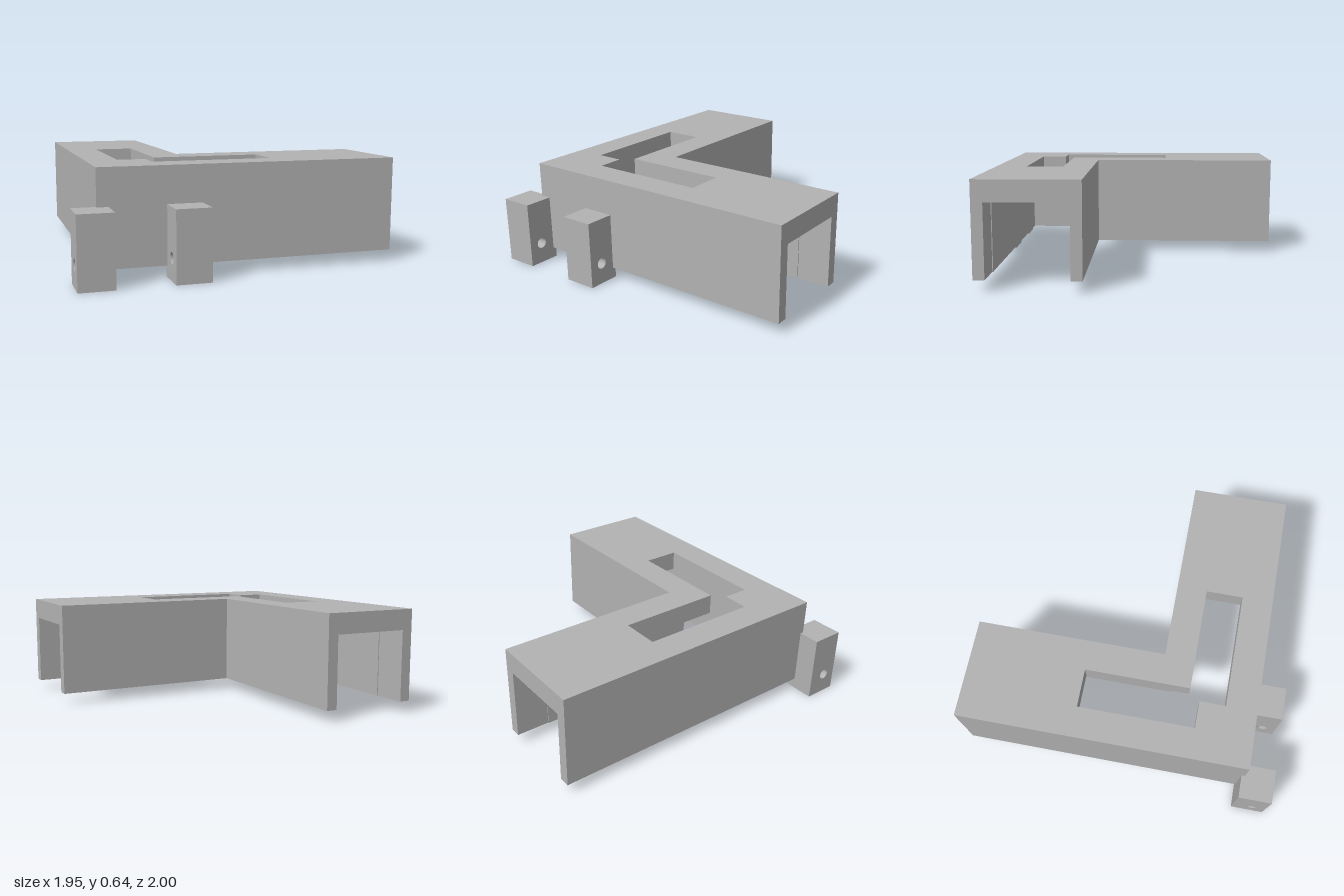
import * as THREE from 'three';

const TOP = 0.637, CEILING = 0.51, BOTTOM = 0.068;

// Closed shape from [a, b] corner pairs
const polygon = (pts) => new THREE.Shape(pts.map(([a, b]) => new THREE.Vector2(a, b)));

// Extrude a plan drawn in (x, z) between two heights
function planSlab(shape, y0, y1) {
  const g = new THREE.ExtrudeGeometry(shape, { depth: y1 - y0, bevelEnabled: false });
  g.rotateX(Math.PI / 2);
  g.translate(0, y1, 0);
  return g;
}

export function createModel() {
  const group = new THREE.Group();
  const grey = new THREE.MeshStandardMaterial({ color: 0xb2b2b2 });
  grey.name = 'plain grey';

  const add = (name, geometry) => {
    const mesh = new THREE.Mesh(geometry, grey);
    mesh.name = name;
    group.add(mesh);
  };

  // L-shaped roof with an L-shaped window and a notched corner
  const roof = polygon([
    [-0.84, -1], [-0.22, -1], [-0.22, 0.197], [0.975, 0.197], [0.975, 0.815], [-0.84, 0.815],
  ]);
  roof.holes.push(polygon([
    [-0.65, -0.275], [-0.65, 0.455], [-0.48, 0.455], [-0.48, 0.62],
    [0.25, 0.62], [0.25, 0.387], [-0.41, 0.387], [-0.41, -0.275],
  ]));
  add('roof', planSlab(roof, CEILING, TOP));

  // Outer wall, slightly thinner near both open ends
  add('outerWall', planSlab(polygon([
    [-0.84, -1], [-0.772, -1], [-0.772, -0.79], [-0.767, -0.79], [-0.767, 0.742],
    [0.77, 0.742], [0.77, 0.747], [0.975, 0.747], [0.975, 0.815], [-0.84, 0.815],
  ]), BOTTOM, CEILING));

  // Inner wall with the same relief at its ends
  add('innerWall', planSlab(polygon([
    [-0.22, -1], [-0.22, 0.197], [0.975, 0.197], [0.975, 0.265], [0.77, 0.265],
    [0.77, 0.27], [-0.293, 0.27], [-0.293, -0.79], [-0.288, -0.79], [-0.288, -1],
  ]), BOTTOM, CEILING));

  // Two hinge lugs, each bored through sideways
  const lug = (name, x0, x1, zBack) => {
    const side = polygon([[-1, 0], [-zBack, 0], [-zBack, 0.418], [-1, 0.418]]);
    const bore = new THREE.Path();
    bore.absarc(-0.91, 0.132, 0.034, 0, Math.PI * 2, true);
    side.holes.push(bore);
    const g = new THREE.ExtrudeGeometry(side, { depth: x1 - x0, bevelEnabled: false, curveSegments: 24 });
    g.rotateY(Math.PI / 2);
    g.translate(x0, 0, 0);
    add(name, g);
  };
  lug('cornerLug', -0.978, -0.772, 0.793);
  lug('frontLug', -0.443, -0.235, 0.793);

  return group;
}
